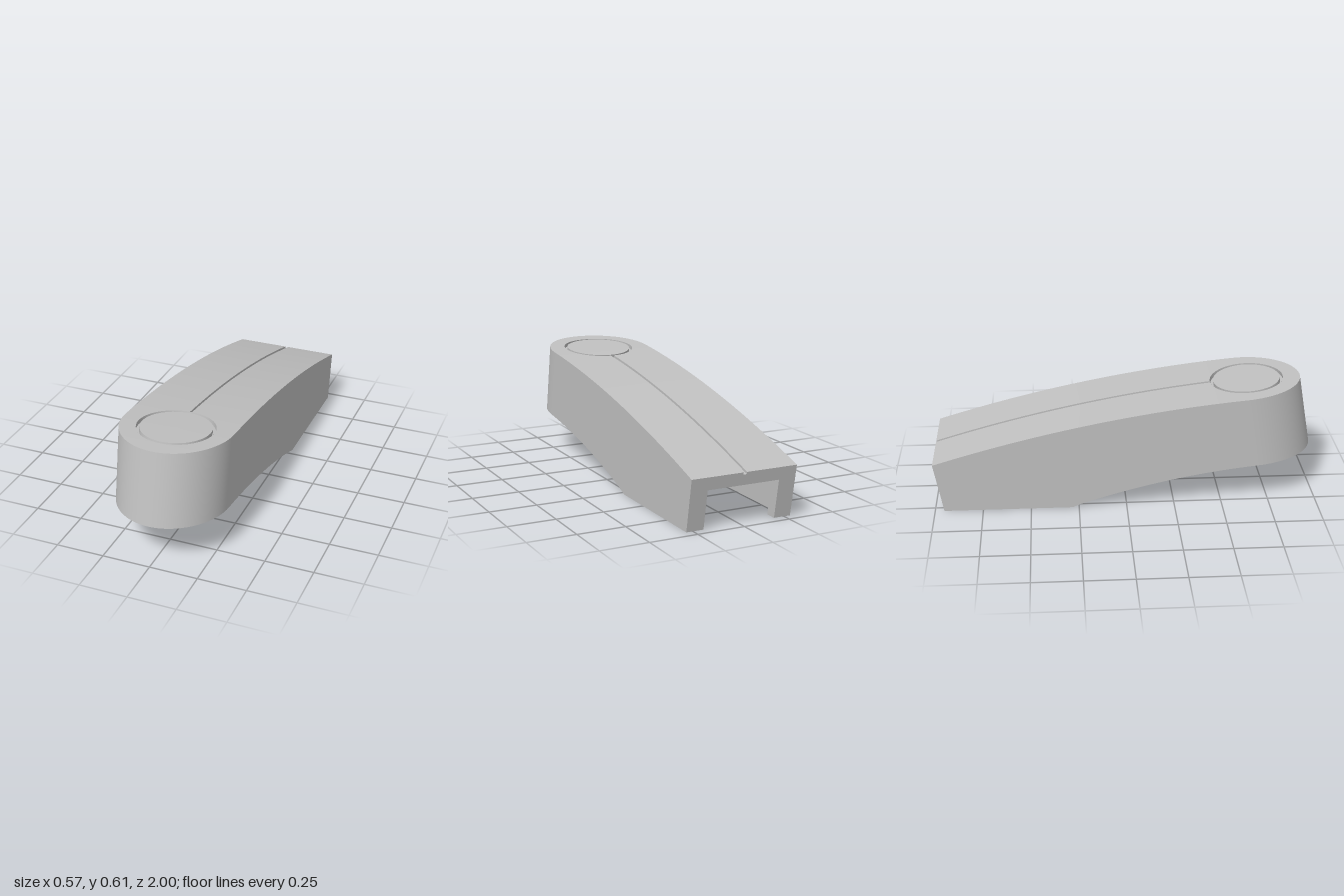
import * as THREE from 'three';

const LEAN = 0.18;                       // backward lean of every upright face
const BACK = -0.952, NOSE = 0.72;        // rear end and start of the rounded nose, along the leaning plan
const OUT = { r: 0.285, len: 0.321 };    // outer half width and nose length
const IN = { r: 0.256, len: 0.288 };     // inner half width and nose length
const C = 0.755, HOLE = 0.195, BUTTON = 0.178, SLOT = 0.009;

// Height rules along z
const top = (z) => 0.508 + 0.1738 * z - 0.068 * z * z;
const ceiling = (z) => 0.205 + 0.175 * (z + 0.965);
const slotFloor = (z) => top(z) - 0.012;
const ringFloor = (z) => top(z) - 0.022;
const bottom = (z) => (z < -0.284 ? 0 : Math.max(0, 0.09 + 0.269 * z - 0.124 * z * z));

// Point at plan position (x, s) raised to a height rule along the leaning direction
function at(x, s, rule) {
  let z = s;
  for (let i = 0; i < 12; i++) z = s - LEAN * rule(z);
  return new THREE.Vector3(x, rule(z), z);
}

const range = (n, f) => Array.from({ length: n + 1 }, (_, i) => f(i / n));

export function createModel() {
  const group = new THREE.Group();
  const grey = new THREE.MeshStandardMaterial({ color: 0xc0c0c0, side: THREE.DoubleSide });
  grey.name = 'plain grey';

  // Surface through rows of points
  function patch(name, rows) {
    const w = rows[0].length, index = [];
    for (let i = 0; i < rows.length - 1; i++) {
      for (let j = 0; j < w - 1; j++) {
        const a = i * w + j, b = a + w;
        index.push(a, b, a + 1, b, b + 1, a + 1);
      }
    }
    const geo = new THREE.BufferGeometry().setFromPoints(rows.flat());
    geo.setIndex(index);
    geo.computeVertexNormals();
    const mesh = new THREE.Mesh(geo, grey);
    mesh.name = name;
    group.add(mesh);
  }

  // U-shaped plan path: along one side, round the nose and back
  const straight = [...range(14, (t) => BACK + t * (-0.284 - BACK)), ...range(22, (t) => -0.284 + t * (NOSE + 0.284)).slice(1)];
  const path = ({ r, len }) => [
    ...straight.map((s) => [r, s]),
    ...range(40, (t) => [r * Math.cos(t * Math.PI), NOSE + len * Math.sin(t * Math.PI)]).slice(1, -1),
    ...[...straight].reverse().map((s) => [-r, s]),
  ];
  const outer = path(OUT), inner = path(IN);
  patch('outerWall', outer.map(([x, s]) => [at(x, s, bottom), at(x, s, top)]));
  patch('innerWall', inner.map(([x, s]) => [at(x, s, ceiling), at(x, s, bottom)]));
  patch('bottomRim', outer.map(([x, s], i) => [at(inner[i][0], inner[i][1], bottom), at(x, s, bottom)]));

  // Half width of the plan, and half width of the slot and button opening
  const half = (s, { r, len }) => (s <= NOSE ? r : r * Math.sqrt(Math.max(0, 1 - ((s - NOSE) / len) ** 2)));
  const opening = (s) => Math.max(s < C ? SLOT : 0, Math.sqrt(Math.max(0, HOLE ** 2 - (s - C) ** 2)));
  const arcStations = ({ len }) => range(20, (t) => NOSE + len * Math.sin(t * Math.PI / 2));
  const sorted = (list) => [...new Set(list)].sort((a, b) => a - b);
  const topStations = sorted([...straight, ...arcStations(OUT), ...range(48, (t) => C - HOLE * Math.cos(t * Math.PI))]);
  const ceilingStations = sorted([...straight, ...arcStations(IN)]);
  const slotStations = range(30, (t) => BACK + t * (C - HOLE + 0.001 - BACK));

  for (const side of [1, -1]) {
    patch('topSkin', topStations.map((s) => [at(side * opening(s), s, top), at(side * half(s, OUT), s, top)]));
    patch('ceiling', ceilingStations.map((s) => [at(0, s, ceiling), at(side * half(s, IN), s, ceiling)]));
    patch('slotWall', slotStations.map((s) => [at(side * SLOT, s, slotFloor), at(side * SLOT, s, top)]));

    // Rear end faces
    const endFace = (name, x0, x1, low, high) =>
      patch(name, [x0, x1].map((x) => [at(side * x, BACK, low), at(side * x, BACK, high)]));
    endFace('roofEnd', SLOT, OUT.r, ceiling, top);
    endFace('slotEnd', 0, SLOT, ceiling, slotFloor);
    endFace('wallEnd', IN.r, OUT.r, bottom, ceiling);

    // Inward lip at the rear of each wall
    const lip = new THREE.BoxGeometry(1, 1, 1);
    const p = lip.attributes.position;
    for (let i = 0; i < p.count; i++) {
      const x = side * (p.getX(i) * side > 0 ? IN.r : 0.194);
      const v = at(x, p.getZ(i) > 0 ? BACK + 0.06 : BACK, p.getY(i) > 0 ? ceiling : bottom);
      p.setXYZ(i, v.x, v.y, v.z);
    }
    lip.computeVertexNormals();
    const mesh = new THREE.Mesh(lip, grey);
    mesh.name = 'rearLip';
    group.add(mesh);
  }
  patch('slotFloor', slotStations.map((s) => [at(-SLOT, s, slotFloor), at(SLOT, s, slotFloor)]));

  // Round button inside its ring groove
  const ring = (r, rule) => range(48, (t) => at(r * Math.cos(t * 2 * Math.PI), C + r * Math.sin(t * 2 * Math.PI), rule));
  patch('ringGrooveFloor', [ring(BUTTON, ringFloor), ring(HOLE, ringFloor)]);
  patch('ringGrooveWall', [ring(HOLE, ringFloor), ring(HOLE, top)]);
  patch('buttonSide', [ring(BUTTON, top), ring(BUTTON, ringFloor)]);
  patch('buttonTop', range(4, (t) => ring(BUTTON * Math.max(t, 0.001), top)));

  return group;
}
